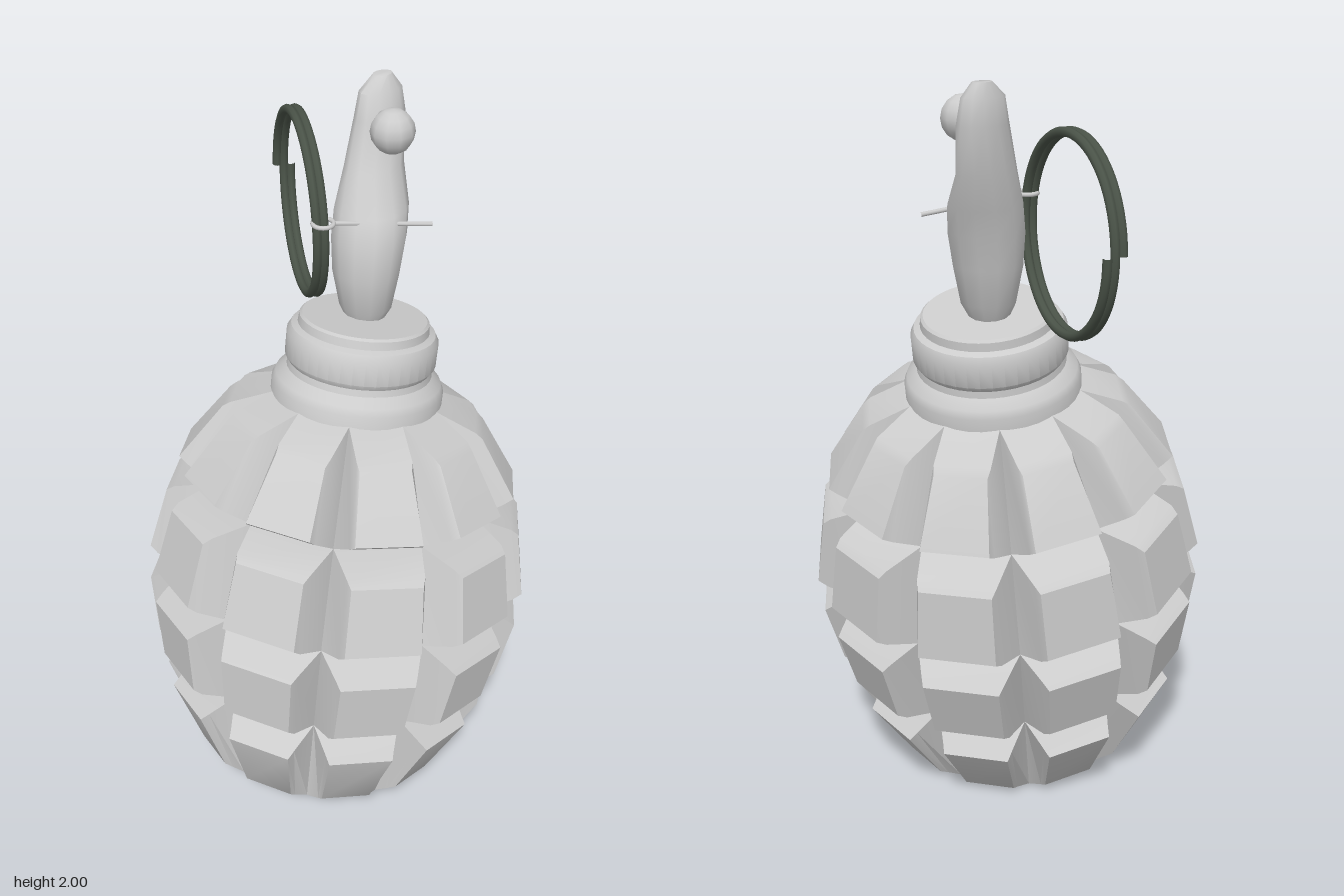
import * as THREE from 'three';
import { toCreasedNormals } from 'three/addons/utils/BufferGeometryUtils.js';

const grey = new THREE.MeshStandardMaterial({ color: 0xcccccc });
const dark = new THREE.MeshStandardMaterial({ color: 0x4a5348 });
const COLUMNS = 10;
const LOBE_ANGLE = THREE.MathUtils.degToRad(11);
const HALF_CELL = Math.PI / COLUMNS;

function add(parent, name, geometry, material = grey) {
  const mesh = new THREE.Mesh(geometry, material);
  mesh.name = name;
  parent.add(mesh);
  return mesh;
}

// Skin a list of equal rings of points and close the last one
function loft(rings, crease) {
  const n = rings[0].length;
  const index = [];
  for (let i = 0; i < rings.length - 1; i++) {
    for (let j = 0; j < n; j++) {
      const a = i * n + j, b = i * n + (j + 1) % n;
      index.push(a, b, b + n, a, b + n, a + n);
    }
  }
  const last = (rings.length - 1) * n;
  for (let j = 1; j < n - 1; j++) index.push(last, last + j, last + j + 1);
  const geometry = new THREE.BufferGeometry();
  geometry.setAttribute('position', new THREE.Float32BufferAttribute(rings.flat(2), 3));
  geometry.setIndex(index);
  return toCreasedNormals(geometry, crease);
}

// Four corners of a patch around the body axis
function patch(halfAngle, y0, r0, y1, r1) {
  const at = (a, y, r) => [Math.sin(a) * r, y, Math.cos(a) * r];
  return [at(-halfAngle, y0, r0), at(halfAngle, y0, r0), at(halfAngle, y1, r1), at(-halfAngle, y1, r1)];
}

// One raised block: groove outline, shoulder, softened outer face
function blockGeometry([gy0, gr0, gy1, gr1], [y0, r0, y1, r1]) {
  return loft([
    patch(HALF_CELL, gy0, gr0, gy1, gr1),
    patch(0.217, y0 - 0.004, r0 - 0.014, y1 + 0.004, r1 - 0.014),
    patch(0.192, y0 + 0.013, r0 + 0.008, y1 - 0.013, r1 + 0.006),
  ], 0.65);
}

function createBody() {
  const body = new THREE.Group();
  body.name = 'body';

  // Core seen at the bottom of the grooves: [height, radius]
  const grooves = [[0, 0.33], [0.3, 0.395], [0.585, 0.45], [0.86, 0.385], [1.14, 0.235]];
  const profile = [[0, 0], ...grooves, [1.14, 0]].map(([y, r]) => new THREE.Vector2(r, y));
  const core = new THREE.LatheGeometry(profile, COLUMNS, LOBE_ANGLE + HALF_CELL);
  add(body, 'core', toCreasedNormals(core, 0.2));

  // Four bands of blocks: lower height and radius, upper height and radius
  const bands = [
    [0.01, 0.36, 0.24, 0.465],
    [0.33, 0.495, 0.535, 0.53],
    [0.615, 0.533, 0.825, 0.497],
    [0.905, 0.465, 1.09, 0.357],
  ];
  bands.forEach((outer, i) => {
    const geometry = blockGeometry([...grooves[i], ...grooves[i + 1]], outer);
    for (let k = 0; k < COLUMNS; k++) {
      add(body, 'bodyBlock', geometry).rotation.y = LOBE_ANGLE + k * 2 * HALF_CELL;
    }
  });

  // Stepped neck with a flat cap
  const neck = [[0.235, 1.1], [0.235, 1.17], [0.226, 1.19], [0.198, 1.212], [0.195, 1.23],
    [0.205, 1.245], [0.205, 1.31], [0.195, 1.328], [0.178, 1.335], [0.175, 1.357], [0.168, 1.363], [0, 1.363]];
  const lathe = new THREE.LatheGeometry(neck.map(([r, y]) => new THREE.Vector2(r, y)), 40);
  add(body, 'neck', toCreasedNormals(lathe, 0.6));

  // Lean of the whole body
  const axis = new THREE.Vector3(0.18, 0.98, -0.08).normalize();
  body.quaternion.setFromUnitVectors(new THREE.Vector3(0, 1, 0), axis);
  body.position.set(-0.105, 0.065, 0.055);
  return body;
}

function createLever() {
  const lever = new THREE.Group();
  lever.name = 'lever';

  // Swollen grip, thinning towards the top: y, centre x, centre z, radius x, radius z
  const sections = [
    [1.37, 0.15, -0.07, 0.04, 0.045],
    [1.43, 0.155, -0.07, 0.07, 0.075],
    [1.53, 0.16, -0.075, 0.09, 0.093],
    [1.62, 0.175, -0.085, 0.1, 0.1],
    [1.69, 0.195, -0.102, 0.1, 0.094],
    [1.78, 0.235, -0.145, 0.085, 0.065],
    [1.9, 0.265, -0.162, 0.075, 0.05],
    [1.965, 0.272, -0.17, 0.063, 0.04],
    [2.0, 0.282, -0.176, 0.028, 0.02],
  ];
  const sides = 12;
  const rings = sections.map(([y, x, z, rx, rz]) => Array.from({ length: sides }, (_, j) => {
    const a = j / sides * Math.PI * 2;
    return [x + rx * Math.cos(a), y, z - rz * Math.sin(a)];
  }));
  add(lever, 'leverGrip', loft(rings, 0.9));

  // Small knob on the front of the lever
  add(lever, 'leverKnob', new THREE.SphereGeometry(0.058, 10, 8)).position.set(0.225, 1.9, -0.06);
  return lever;
}

function createPin() {
  const pin = new THREE.Group();
  pin.name = 'pin';

  // Thin rod through the lever, ending in an eyelet
  const rod = new THREE.LineCurve3(new THREE.Vector3(0.055, 1.69, -0.08), new THREE.Vector3(0.29, 1.66, 0.03));
  add(pin, 'pinRod', new THREE.TubeGeometry(rod, 1, 0.006, 8));
  const eyelet = add(pin, 'pinEyelet', new THREE.TorusGeometry(0.027, 0.006, 8, 20));
  eyelet.rotation.x = Math.PI / 2;
  eyelet.position.set(0.03, 1.693, -0.09);

  // Split ring of two turns
  const points = [];
  for (let i = 0; i <= 96; i++) {
    const a = i / 96 * Math.PI * 4;
    points.push(new THREE.Vector3(0.245 * Math.cos(a), 0.245 * Math.sin(a), 0.028 * (i / 96 - 0.5) * 1.4));
  }
  const coil = new THREE.CatmullRomCurve3(points);
  const ring = add(pin, 'pullRing', new THREE.TubeGeometry(coil, 128, 0.012, 8), dark);
  ring.rotation.y = 1.147;
  ring.position.set(0.125, 1.635, -0.315);
  return pin;
}

export function createModel() {
  const model = new THREE.Group();
  model.name = 'model';
  model.add(createBody(), createLever(), createPin());
  return model;
}
